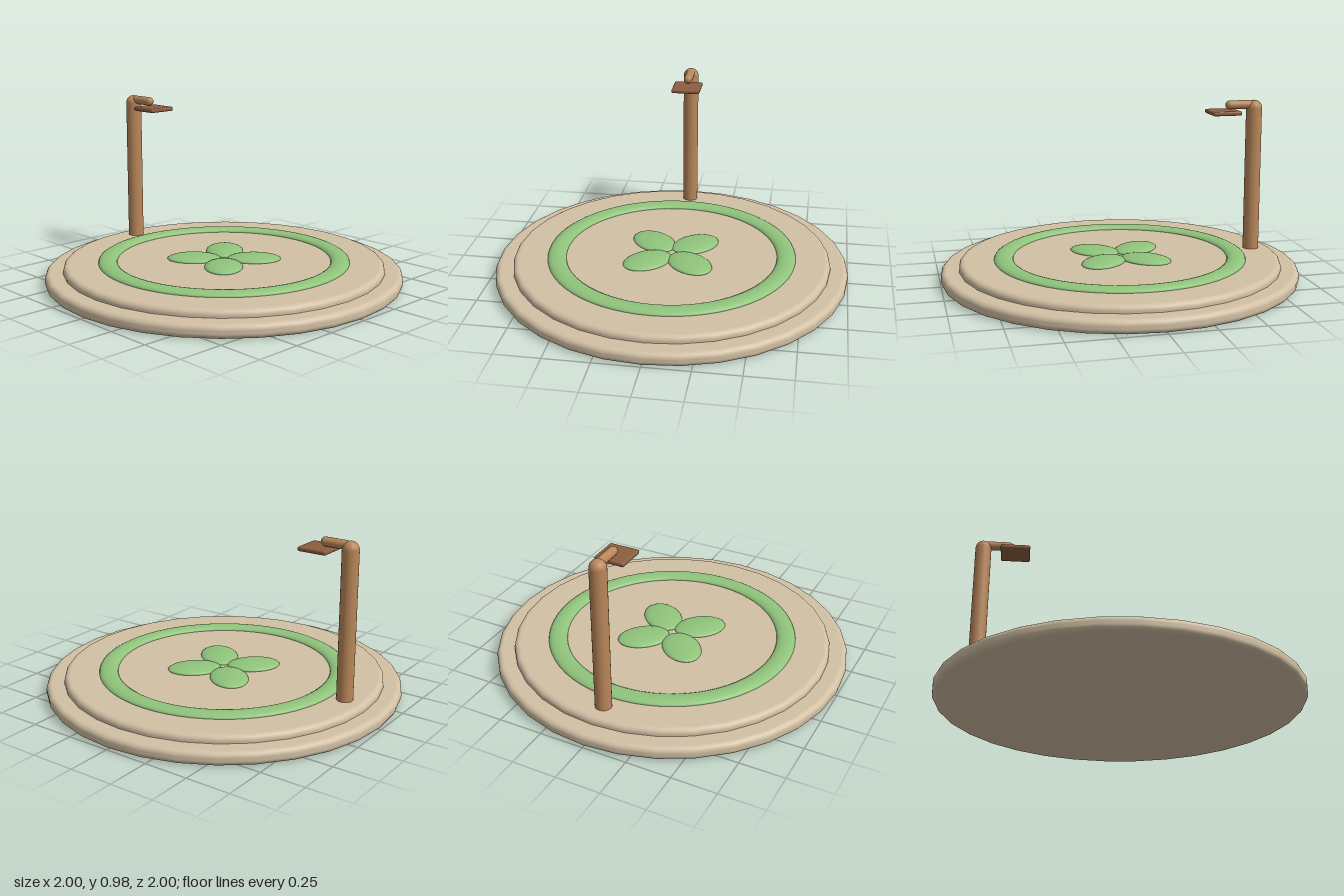
import * as THREE from 'three';
import { RoundedBoxGeometry } from 'three/addons/geometries/RoundedBoxGeometry.js';

const mat = (name, color) => {
  const m = new THREE.MeshStandardMaterial({ color });
  m.name = name;
  return m;
};

export function createModel() {
  const stone = mat('stone', 0xd2c0a4);
  const green = mat('leaf green', 0x90c47c);
  const wood = mat('wood', 0xb9875a);
  const darkWood = mat('dark wood', 0x8b5e3f);
  const group = new THREE.Group();

  const add = (name, geometry, material, x = 0, y = 0, z = 0) => {
    const mesh = new THREE.Mesh(geometry, material);
    mesh.name = name;
    mesh.position.set(x, y, z);
    group.add(mesh);
    return mesh;
  };

  // Disc with rounded rims, turned from its half profile
  const roundedDisc = (radius, y0, y1, bevel, segments) => {
    const path = new THREE.Path();
    path.moveTo(0, y0);
    path.lineTo(radius - bevel - 0.002, y0);
    path.lineTo(radius - bevel, y0);
    path.absarc(radius - bevel, y0 + bevel, bevel, -Math.PI / 2, 0, false);
    path.lineTo(radius, y1 - bevel);
    path.absarc(radius - bevel, y1 - bevel, bevel, 0, Math.PI / 2, false);
    path.lineTo(radius - bevel - 0.002, y1);
    path.lineTo(0, y1);
    const points = path.getPoints(5).filter((p, i, a) => i === 0 || p.distanceTo(a[i - 1]) > 1e-5);
    points[0].x = points[points.length - 1].x = 0;
    return new THREE.LatheGeometry(points, segments);
  };

  // Stepped base
  add('lowerBase', roundedDisc(1, 0, 0.075, 0.03, 32), stone);
  add('upperBase', roundedDisc(0.9, 0.04, 0.115, 0.03, 32), stone);

  // Flattened green ring
  const ring = new THREE.TorusGeometry(0.652, 0.053, 16, 64).rotateX(Math.PI / 2).scale(1, 0.4, 1);
  add('ring', ring, green, 0, 0.115, 0);

  // Four petals lying on the diagonals
  for (let i = 0; i < 4; i++) {
    const angle = Math.PI / 4 + (i * Math.PI) / 2;
    const petal = new THREE.SphereGeometry(1, 32, 16).scale(0.15, 0.025, 0.106);
    petal.translate(0.17, 0, 0).rotateY(angle);
    add('petal' + (i + 1), petal, green, 0, 0.118, 0);
  }

  // Post with a domed top, standing at the back
  add('post', new THREE.CylinderGeometry(0.045, 0.045, 0.83, 24), wood, 0, 0.515, -0.78);
  add('postCap', new THREE.SphereGeometry(0.045, 24, 16), wood, 0, 0.93, -0.78);

  // Arm reaching forward with a small plate below its end
  const arm = new THREE.CapsuleGeometry(0.025, 0.12, 6, 16).rotateX(Math.PI / 2);
  add('arm', arm, wood, 0, 0.95, -0.695);
  add('plate', new RoundedBoxGeometry(0.166, 0.024, 0.166, 3, 0.009), darkWood, 0, 0.91, -0.598);

  return group;
}
